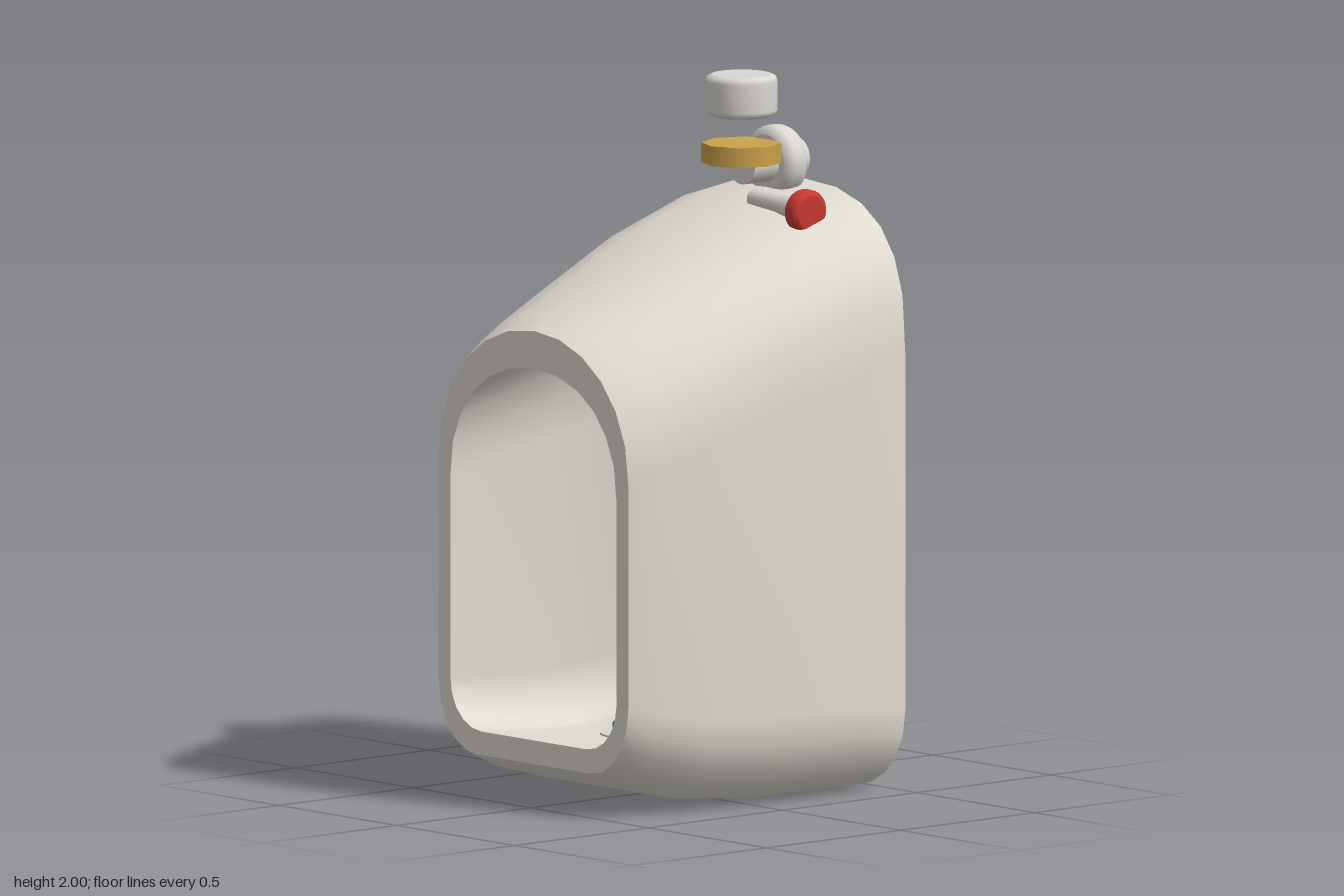
import * as THREE from 'three';

const mat = (name, color) => {
  const m = new THREE.MeshStandardMaterial({ color });
  m.name = name;
  return m;
};

// Arched outline, anticlockwise from bottom centre: rounded lower corners, superelliptic top
function section(z, hw, y0, y1, arch, power, rx, ry) {
  const half = [[0, y0]];
  for (let i = 0; i <= 5; i++) {
    const a = (i / 5) * Math.PI / 2;
    half.push([hw - rx + rx * Math.sin(a), y0 + ry - ry * Math.cos(a)]);
  }
  for (let i = 0; i <= 6; i++) {
    const a = (i / 6) * Math.PI / 2;
    half.push([hw * Math.max(0, Math.cos(a)) ** (2 / power), y1 - arch + arch * Math.sin(a) ** (2 / power)]);
  }
  const mirrored = half.slice(1, -1).reverse().map(([x, y]) => [-x, y]);
  return [...half, ...mirrored].map(([x, y]) => [x, y, z]);
}

// Skin over closed loops with equal point counts
function loft(loops) {
  const n = loops[0].length, index = [];
  for (let i = 0; i < loops.length - 1; i++) {
    for (let j = 0; j < n; j++) {
      const a = i * n + j, b = i * n + (j + 1) % n;
      index.push(a, b, b + n, a, b + n, a + n);
    }
  }
  const g = new THREE.BufferGeometry();
  g.setAttribute('position', new THREE.Float32BufferAttribute(loops.flat(2), 3));
  g.setIndex(index);
  g.computeVertexNormals();
  return g;
}

// Disc with bevelled edges, centred on its own axis; separate rings keep the faces flat
function bevelledDisc(r, h, bevel, sides = 32) {
  const k = h / 2, e = 0.0005;
  const profile = [
    [0, -k], [r - bevel - e, -k], [r - bevel, -k], [r - bevel * 0.3, -k + bevel * 0.3], [r, -k + bevel],
    [r, k - bevel], [r - bevel * 0.3, k - bevel * 0.3], [r - bevel, k], [r - bevel - e, k], [0, k],
  ];
  return new THREE.LatheGeometry(profile.map(([x, y]) => new THREE.Vector2(x, y)), sides);
}

export function createModel() {
  const model = new THREE.Group();
  model.name = 'urinal';
  const porcelain = mat('porcelain', 0xe0dbd2);
  const chrome = mat('chrome', 0xdad6d0);
  const brass = mat('brass', 0xcba24a);
  const red = mat('red handle', 0xcb3a32);
  const teal = mat('teal drain', 0x2d7f7c);

  const add = (name, geometry, material, x = 0, y = 0, z = 0, parent = model) => {
    const m = new THREE.Mesh(geometry, material);
    m.name = name;
    m.position.set(x, y, z);
    parent.add(m);
    return m;
  };

  // Outer shell, back to front: z, half width, bottom, top, arch height, arch power, corner radii
  const outer = [
    [-0.49, 0.462, 0.0, 1.69, 0.45, 2.7, 0.21, 0.23],
    [-0.33, 0.49, 0.0, 1.665, 0.45, 2.7, 0.22, 0.25],
    [-0.05, 0.49, 0.002, 1.58, 0.44, 2.5, 0.22, 0.26],
    [0.22, 0.463, 0.03, 1.468, 0.42, 2.3, 0.2, 0.24],
    [0.41, 0.43, 0.083, 1.39, 0.4, 2.15, 0.18, 0.22],
    [0.49, 0.402, 0.123, 1.35, 0.39, 2.05, 0.16, 0.2],
  ].map((s) => section(...s));

  // Hollow bowl, front to back: z, half width, floor, ceiling
  const bowl = [
    [0.49, 0.352, 0.19, 1.243], [0.3, 0.35, 0.17, 1.3], [0.1, 0.338, 0.165, 1.36], [-0.06, 0.308, 0.19, 1.4],
    [-0.2, 0.25, 0.28, 1.38], [-0.3, 0.17, 0.42, 1.25], [-0.34, 0.085, 0.6, 1.0], [-0.35, 0, 0.77, 0.77],
  ].map(([z, hw, y0, y1]) => {
    const h = y1 - y0;
    return section(z, hw, y0, y1, h * 0.32, 2.15, hw * 0.37, h * 0.13);
  });

  add('outerShell', loft(outer), porcelain);
  add('frontRim', loft([outer[outer.length - 1], bowl[0]]), porcelain);
  add('backPanel', loft([outer[0].map(() => [0, 0.8, -0.49]), outer[0]]), porcelain);
  add('bowl', loft(bowl), porcelain);

  // Drain in the bowl floor
  add('drainRing', new THREE.CylinderGeometry(0.13, 0.13, 0.012, 32), chrome, 0, 0.167, 0.07);
  add('drainCover', bevelledDisc(0.095, 0.03, 0.008), teal, 0, 0.188, 0.07);

  // Flush valve on top
  const valve = new THREE.Group();
  valve.name = 'flushValve';
  valve.position.z = -0.285;
  model.add(valve);
  add('valveCap', bevelledDisc(0.102, 0.117, 0.018), chrome, 0, 1.9415, 0, valve);
  add('valveNut', new THREE.CylinderGeometry(0.113, 0.113, 0.056, 8), brass, 0, 1.778, 0, valve);

  // Supply pipe running to the wall, with its flange
  const pipe = add('supplyPipe', new THREE.CylinderGeometry(0.058, 0.058, 0.205, 24), chrome, 0, 1.745, -0.1025, valve);
  pipe.rotation.x = Math.PI / 2;
  const flange = add('wallFlange', bevelledDisc(0.101, 0.08, 0.024), chrome, 0, 1.743, -0.13, valve);
  flange.rotation.x = Math.PI / 2;

  // Lever, tilted slightly down towards its knob
  const lever = new THREE.Group();
  lever.name = 'flushLever';
  lever.position.set(0.272, 1.642, 0);
  lever.rotation.z = -Math.PI / 2 - 0.06;
  valve.add(lever);
  add('leverArm', new THREE.CylinderGeometry(0.036, 0.026, 0.22, 20), chrome, 0, -0.11, 0, lever);
  add('leverKnob', bevelledDisc(0.062, 0.052, 0.014), red, 0, 0, 0, lever);

  return model;
}
